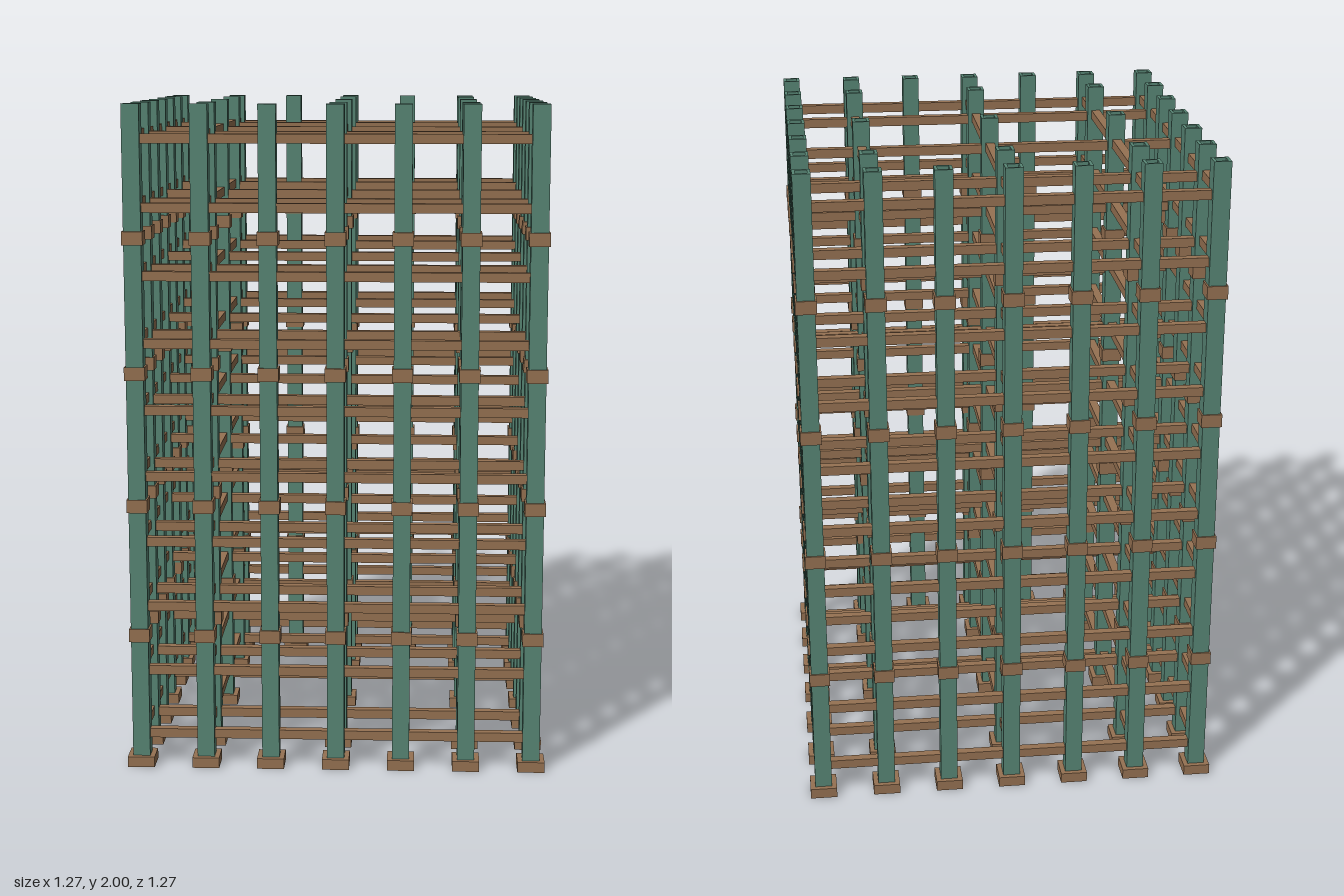
import * as THREE from 'three';

const PITCH = 0.1975;
const POST = 0.052, WALL = 0.009;

export function createModel() {
  const model = new THREE.Group();
  model.name = 'scaffoldTower';

  const green = new THREE.MeshStandardMaterial({ color: 0x588675 });
  green.name = 'paintedGreen';
  const brown = new THREE.MeshStandardMaterial({ color: 0x967252 });
  brown.name = 'rustBrown';

  const add = (parent, name, geometry, material, x, y, z) => {
    const mesh = new THREE.Mesh(geometry, material);
    mesh.name = name;
    mesh.position.set(x, y, z);
    parent.add(mesh);
  };

  // Square hollow tube standing on its base plate
  const square = (half, path) => path
    .moveTo(-half, -half).lineTo(half, -half).lineTo(half, half).lineTo(-half, half).closePath();
  const section = square(POST / 2, new THREE.Shape());
  section.holes.push(square(POST / 2 - WALL, new THREE.Path()));
  const postGeo = new THREE.ExtrudeGeometry(section, { depth: 1.98, bevelEnabled: false });
  postGeo.rotateX(-Math.PI / 2);
  const baseGeo = new THREE.BoxGeometry(0.082, 0.032, 0.082);
  const collarGeo = new THREE.BoxGeometry(0.062, 0.04, 0.062);

  // Posts: a full ring around the edge, and a wider 3 x 3 grid inside
  for (let i = -3; i <= 3; i++) {
    for (let j = -3; j <= 3; j++) {
      const edge = Math.abs(i) === 3 || Math.abs(j) === 3;
      if (!edge && (i % 2 !== 0 || j % 2 !== 0)) continue;
      const post = new THREE.Group();
      post.name = 'post';
      post.position.set(i * PITCH, 0, j * PITCH);
      add(post, 'postTube', postGeo, green, 0, 0.02, 0);
      add(post, 'basePlate', baseGeo, brown, 0, 0.016, 0);
      for (let k = 0; k < 4; k++) add(post, 'collar', collarGeo, brown, 0, 0.412 + k * 0.4, 0);
      model.add(post);
    }
  }

  // Rails on every level, the crosswise ones slightly lower than the lengthwise ones
  const length = PITCH * 6 + 0.026;
  const railX = new THREE.BoxGeometry(length, 0.028, 0.027);
  const railZ = new THREE.BoxGeometry(0.027, 0.028, length);
  for (let level = 0; level < 10; level++) {
    const y = 0.1 + level * 0.2;
    const rails = new THREE.Group();
    rails.name = 'railLevel';
    for (const n of [-3, -2, 0, 2, 3]) {
      add(rails, 'crossRail', railX, brown, 0, y, n * PITCH);
      add(rails, 'sideRail', railZ, brown, n * PITCH, y + 0.009, 0);
    }
    model.add(rails);
  }
  return model;
}
